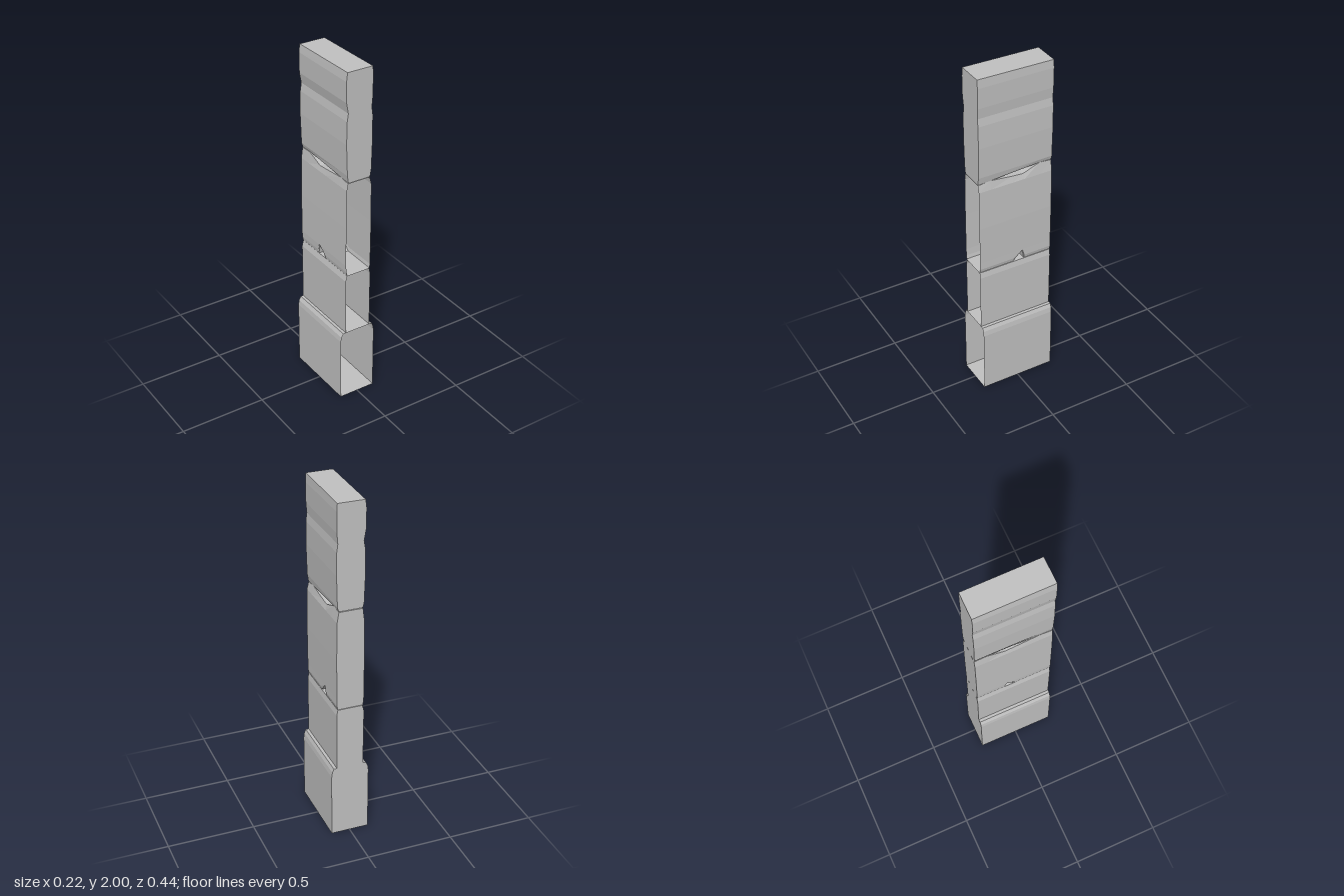
import * as THREE from 'three';

const D = 0.222; // half depth

export function createModel() {
  const group = new THREE.Group();
  group.name = 'stonePillar';
  const stone = new THREE.MeshStandardMaterial({ color: 0xc0c0c0, side: THREE.DoubleSide });
  stone.name = 'grey stone';

  // A worn block: rows are [y, left edge x, right edge x] from bottom to top,
  // columns are [z, lowest y, highest y] from front to back.
  function block(name, rows, columns, openFront) {
    const pos = [];
    const quad = (a, b, c, d) => {
      for (const p of [a, b, c, a, c, d]) pos.push(...p);
    };
    const last = rows.length - 1;
    const end = columns.length - 1;
    const point = (i, j, side) => {
      const [z, low, high] = columns[j];
      const y = i === 0 ? low : i === last ? high : Math.min(high, Math.max(low, rows[i][0]));
      return [rows[i][side], y, z];
    };
    const L = (i, j) => point(i, j, 1);
    const R = (i, j) => point(i, j, 2);

    for (let i = 0; i < last; i++) {
      // long side walls
      for (let j = 0; j < end; j++) {
        quad(R(i, j), R(i, j + 1), R(i + 1, j + 1), R(i + 1, j));
        quad(L(i, j + 1), L(i, j), L(i + 1, j), L(i + 1, j + 1));
      }
      // narrow ends
      if (!openFront) quad(L(i, 0), R(i, 0), R(i + 1, 0), L(i + 1, 0));
      quad(R(i, end), L(i, end), L(i + 1, end), R(i + 1, end));
    }
    // top and underside
    for (let j = 0; j < end; j++) {
      quad(L(last, j), R(last, j), R(last, j + 1), L(last, j + 1));
      quad(L(0, j + 1), R(0, j + 1), R(0, j), L(0, j));
    }

    const geometry = new THREE.BufferGeometry();
    geometry.setAttribute('position', new THREE.Float32BufferAttribute(pos, 3));
    geometry.computeVertexNormals();
    const mesh = new THREE.Mesh(geometry, stone);
    mesh.name = name;
    group.add(mesh);
  }

  // Wide base, open at the front
  block('baseBlock', [
    [0, -0.111, 0.108], [0.38, -0.111, 0.108], [0.41, -0.107, 0.104], [0.432, -0.095, 0.095],
  ], [[D, 0, 0.432], [-D, 0, 0.432]], true);

  // Lower block, open at the front
  block('lowerBlock', [
    [0.432, -0.078, 0.077], [0.77, -0.08, 0.078], [0.805, -0.071, 0.072],
  ], [[D, 0.432, 0.805], [-D, 0.432, 0.805]], true);

  // Middle block with a chipped notch below and a dipped upper edge
  block('middleBlock', [
    [0.808, -0.073, 0.072], [0.83, -0.077, 0.077], [0.87, -0.079, 0.077],
    [1.1, -0.079, 0.079], [1.33, -0.076, 0.077], [1.375, -0.068, 0.067],
  ], [
    [D, 0.808, 1.372], [0.15, 0.808, 1.38], [0.015, 0.808, 1.365],
    [-0.045, 0.868, 1.36], [-0.055, 0.808, 1.362], [-0.15, 0.808, 1.397], [-D, 0.808, 1.392],
  ], true);

  // Upper block, its underside slanting up towards the back
  block('upperBlock', [
    [1.38, -0.067, 0.068], [1.42, -0.074, 0.075], [1.6, -0.08, 0.08],
    [1.73, -0.077, 0.079], [1.775, -0.07, 0.073],
  ], [[D, 1.376, 1.775], [0.15, 1.38, 1.775], [-0.15, 1.398, 1.775], [-D, 1.396, 1.775]], false);

  // Cap block
  block('capBlock', [
    [1.775, -0.07, 0.073], [1.835, -0.081, 0.078], [1.95, -0.082, 0.079], [2, -0.076, 0.076],
  ], [[D, 1.775, 2], [-D, 1.775, 1.995]], false);

  return group;
}
